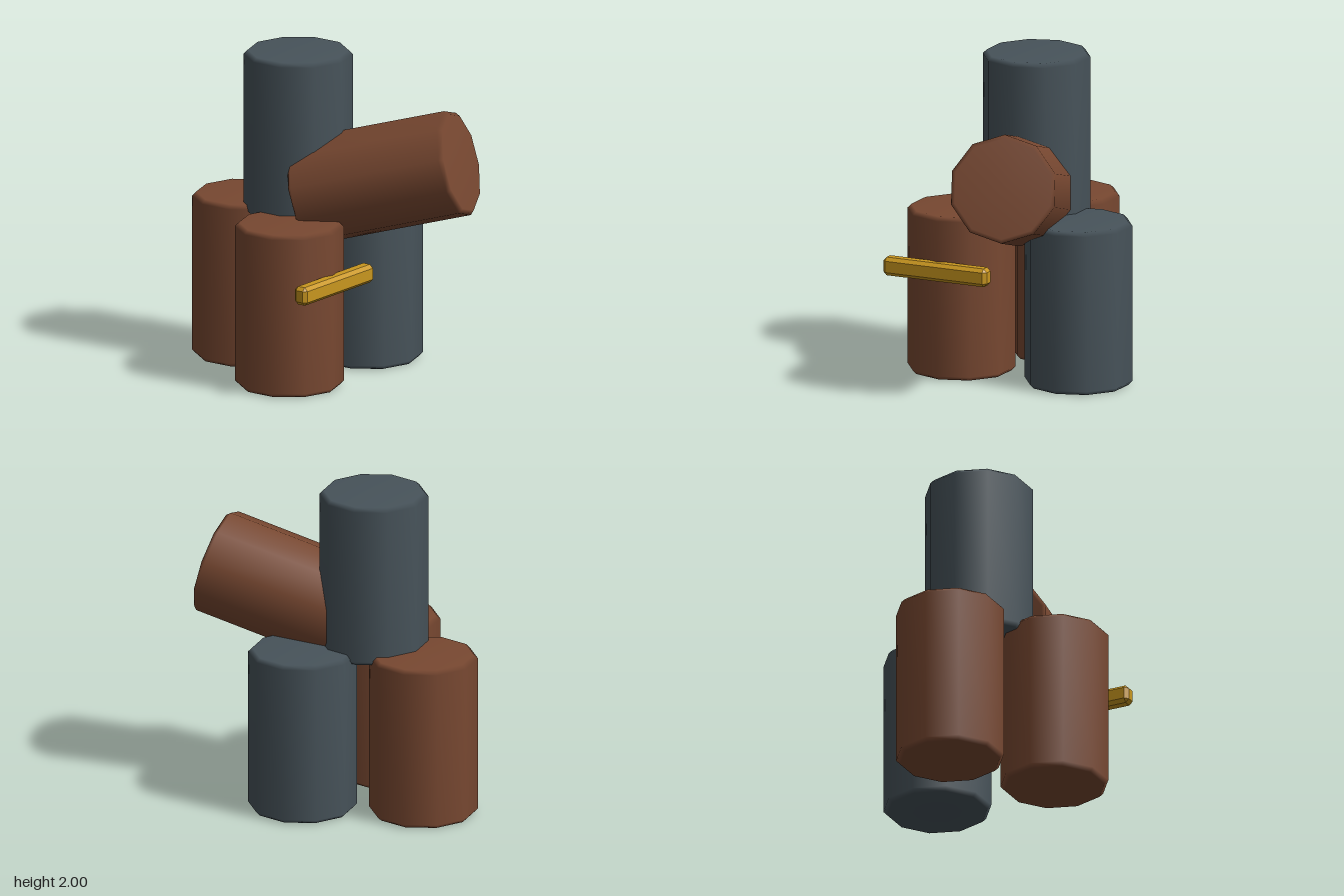
import * as THREE from 'three';
import { ConvexGeometry } from 'three/addons/geometries/ConvexGeometry.js';

const material = (name, color) => {
  const m = new THREE.MeshStandardMaterial({ color });
  m.name = name;
  return m;
};

// Ten-sided drum with a small chamfer at both ends, centred on its middle
function drumGeometry(radius, height, chamfer) {
  const h = height / 2;
  const profile = [
    [0, -h], [radius - chamfer, -h], [radius, -h + chamfer],
    [radius, h - chamfer], [radius - chamfer, h], [0, h],
  ].map(([x, y]) => new THREE.Vector2(x, y));
  return new THREE.LatheGeometry(profile, 10);
}

// Box with every edge and corner cut flat
function chamferedBox(w, h, d, c) {
  const points = [];
  for (const sx of [-1, 1]) for (const sy of [-1, 1]) for (const sz of [-1, 1]) {
    for (let face = 0; face < 3; face++) {
      const half = [w / 2, h / 2, d / 2].map((v, i) => (i === face ? v : v - c));
      points.push(new THREE.Vector3(sx * half[0], sy * half[1], sz * half[2]));
    }
  }
  return new ConvexGeometry(points);
}

export function createModel() {
  const model = new THREE.Group();
  model.name = 'barrelStack';

  const rust = material('rust brown', 0x784831);
  const slate = material('slate grey', 0x47535a);
  const gold = material('gold', 0xc8961f);

  const geometry = drumGeometry(0.335, 1.03, 0.025);
  const addBarrel = (name, mat, x, y, z) => {
    const barrel = new THREE.Mesh(geometry, mat);
    barrel.name = name;
    barrel.position.set(x, y, z);
    model.add(barrel);
    return barrel;
  };

  // Three standing barrels with a fourth on top
  addBarrel('rightBarrel', rust, -0.39, 0.515, 0.013);
  addBarrel('leftBarrel', slate, 0.415, 0.515, 0.013);
  addBarrel('backBarrel', rust, 0.01, 0.515, -0.615);
  addBarrel('topBarrel', slate, 0.01, 1.485, -0.22);

  // Toppled barrel leaning out to the front
  const toppled = addBarrel('toppledBarrel', rust, 0.127, 1.26, 0.347);
  toppled.rotation.set(THREE.MathUtils.degToRad(75), THREE.MathUtils.degToRad(20), 0, 'YXZ');

  // Gold bar across the front of the right barrel
  const bar = new THREE.Mesh(chamferedBox(0.71, 0.115, 0.095, 0.022), gold);
  bar.name = 'goldBar';
  bar.position.set(-0.387, 0.692, 0.353);
  model.add(bar);

  return model;
}
